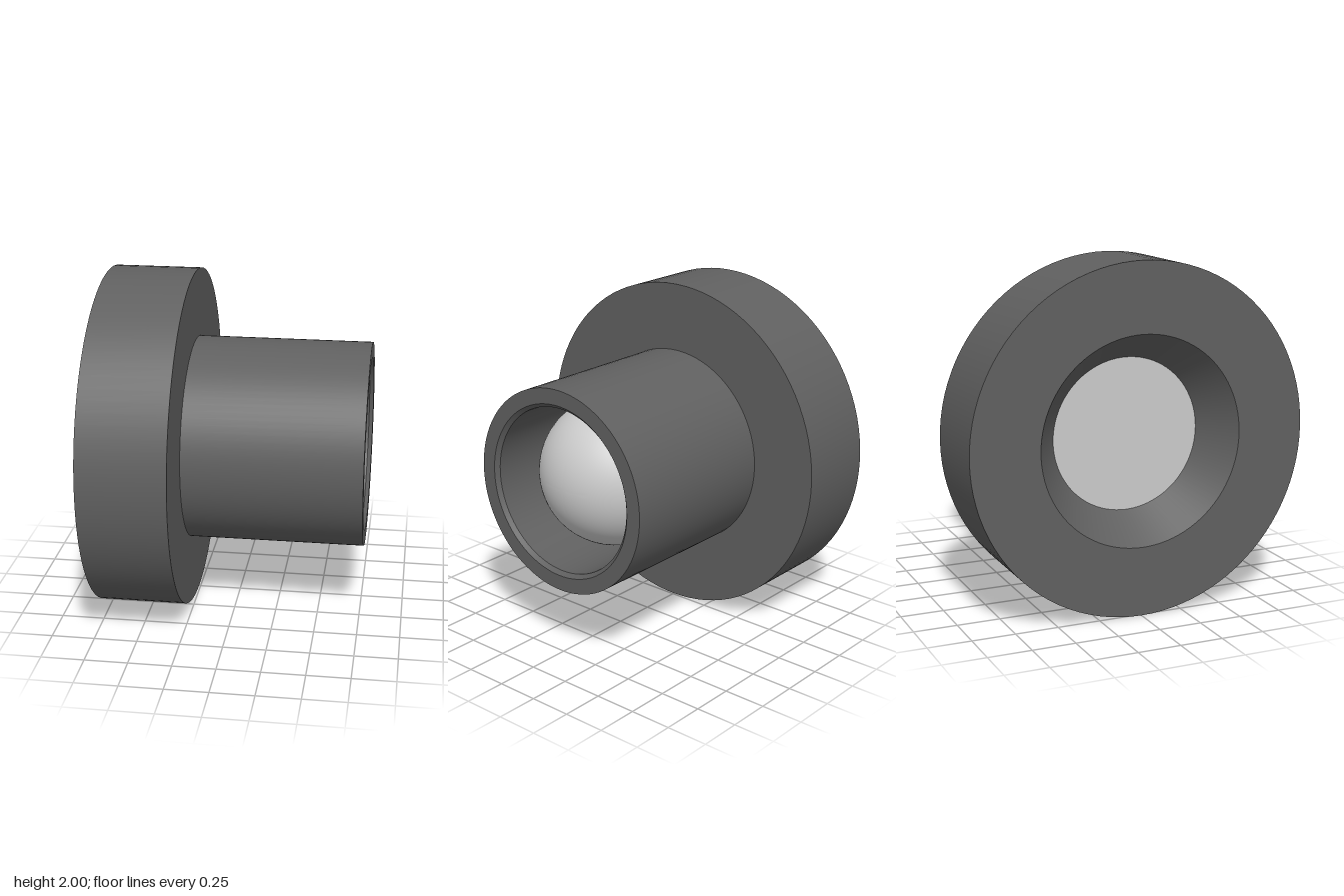
import * as THREE from 'three';
import { toCreasedNormals } from 'three/addons/utils/BufferGeometryUtils.js';

// Revolve a profile of [radius, x] pairs around the x axis at height 1
function revolve(name, profile, color) {
  const points = profile.map(([r, x]) => new THREE.Vector2(r, x));
  const geometry = toCreasedNormals(new THREE.LatheGeometry(points, 96), 0.5);
  geometry.rotateZ(-Math.PI / 2);
  const mesh = new THREE.Mesh(geometry, new THREE.MeshStandardMaterial({ color }));
  mesh.name = name;
  mesh.position.y = 1;
  return mesh;
}

export function createModel() {
  const group = new THREE.Group();
  group.name = 'lensHolder';

  // Flange and barrel, with a chamfered front bore, lens seat and flared rear opening
  group.add(revolve('housing', [
    [0.6, -0.765], [1, -0.765], [1, -0.26], [0.6, -0.26], [0.6, 0.765],
    [0.51, 0.765], [0.487, 0.742], [0.487, 0.25], [0.44, 0.25],
    [0.44, -0.54], [0.6, -0.765],
  ], 0x606060));

  // Lens rod: flat at the rear, domed at the front
  const R = 0.44, domeX = 0.29;
  const lens = [[0, -0.54], [R, -0.54], [R, domeX]];
  for (let i = 1; i <= 24; i++) {
    const a = (i / 24) * Math.PI / 2;
    lens.push([i === 24 ? 0 : R * Math.cos(a), domeX + R * Math.sin(a)]);
  }
  group.add(revolve('lens', lens, 0xcccccc));

  return group;
}
